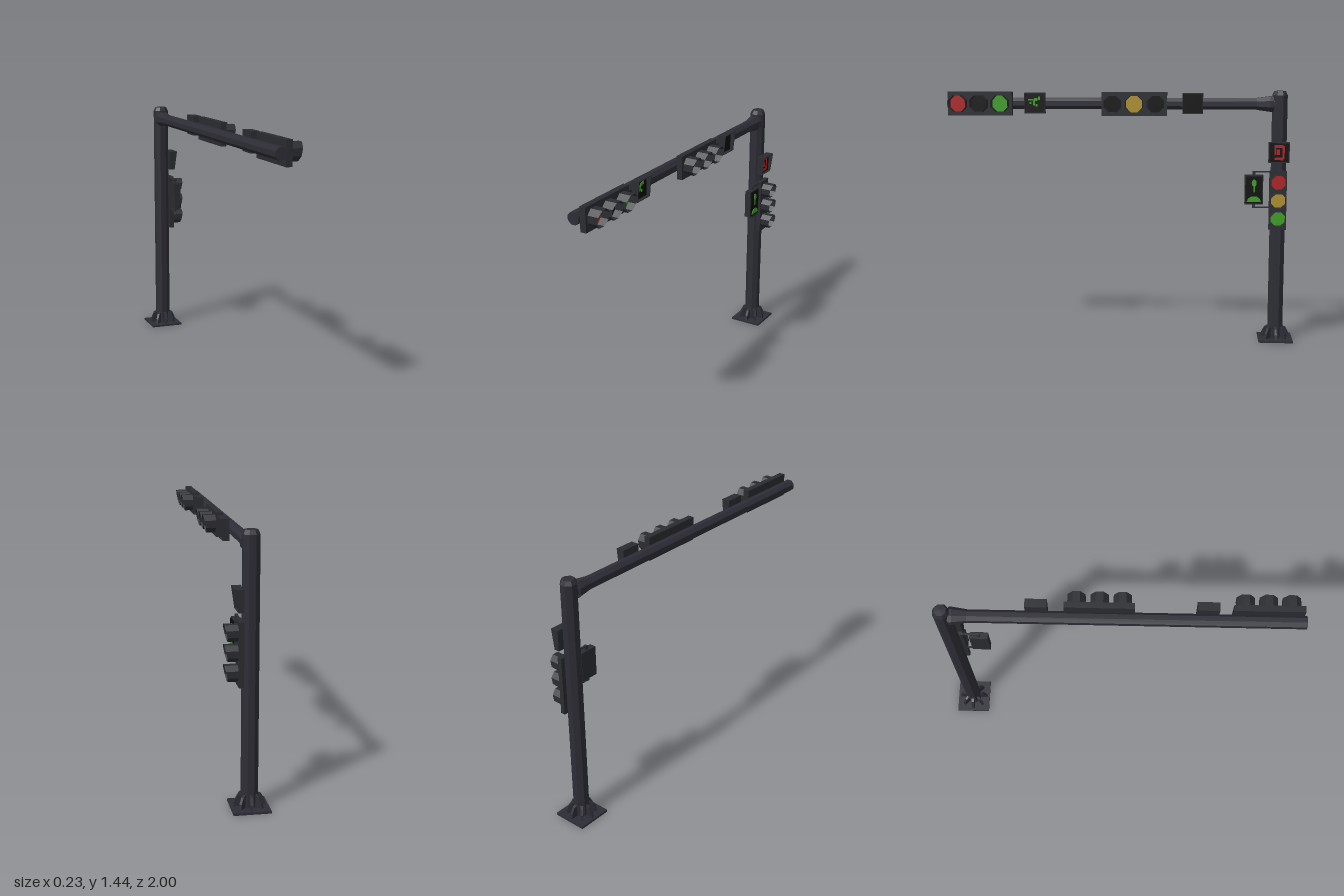
import * as THREE from 'three';

const mat = (name, color) => {
  const m = new THREE.MeshStandardMaterial({ color, flatShading: true, side: THREE.DoubleSide });
  m.name = name;
  return m;
};

export function createModel() {
  const root = new THREE.Group();
  root.name = 'trafficLight';
  const metal = mat('darkMetal', 0x2e2d36);
  const housing = mat('housingGrey', 0x2b2c31);
  const black = mat('black', 0x0c0c0d);
  const red = mat('red', 0xb02326);
  const yellow = mat('yellow', 0xb0922f);
  const green = mat('green', 0x41a026);

  const PX = -0.021, PZ = -0.9, ARM_Y = 1.365;

  const add = (name, geo, material, parent = root) => {
    const m = new THREE.Mesh(geo, material);
    m.name = name;
    parent.add(m);
    return m;
  };
  // Box given by its limits on each axis
  const box = (name, material, [x0, x1], [y0, y1], [z0, z1], parent = root) =>
    add(name, new THREE.BoxGeometry(x1 - x0, y1 - y0, z1 - z0)
      .translate((x0 + x1) / 2, (y0 + y1) / 2, (z0 + z1) / 2), material, parent);
  const group = (name) => {
    const g = new THREE.Group();
    g.name = name;
    root.add(g);
    return g;
  };

  // Octagonal post with bevelled cap
  const post = [[0, 0], [0.0455, 0], [0.0455, 1.415], [0.034, 1.438], [0, 1.44]].map(p => new THREE.Vector2(...p));
  add('post', new THREE.LatheGeometry(post, 8, Math.PI / 8), metal).position.set(PX, 0, PZ);

  // Base plate with radial stiffeners
  box('basePlate', metal, [PX - 0.098, PX + 0.098], [0, 0.012], [PZ - 0.098, PZ + 0.098]);
  const finShape = new THREE.Shape([[0.03, 0.01], [0.084, 0.01], [0.078, 0.04], [0.062, 0.072], [0.03, 0.085]]
    .map(p => new THREE.Vector2(...p)));
  const finGeo = new THREE.ExtrudeGeometry(finShape, { depth: 0.014, bevelEnabled: false }).translate(0, 0, -0.007);
  for (let i = 0; i < 8; i++) {
    const fin = add('baseFin', finGeo, metal);
    fin.position.set(PX, 0, PZ);
    fin.rotation.y = i * Math.PI / 4;
  }

  // Octagonal arm and its flared collar
  const alongZ = (name, rFront, rBack, z0, z1) =>
    add(name, new THREE.CylinderGeometry(rFront, rBack, z1 - z0, 8).rotateY(Math.PI / 8).rotateX(Math.PI / 2)
      .translate(PX, ARM_Y, (z0 + z1) / 2), metal);
  alongZ('arm', 0.035, 0.035, -0.88, 1);
  alongZ('armCollar', 0.036, 0.047, -0.845, -0.77);
  alongZ('armFlange', 0.048, 0.048, -0.865, -0.845);

  // Lamp disc with a slanted visor, facing +x
  const lamp = (parent, material, x, y, z, r) => {
    const visor = new THREE.CylinderGeometry(r, r, 0.07, 8, 1, true).rotateY(Math.PI / 8).rotateZ(-Math.PI / 2);
    const p = visor.attributes.position;
    for (let i = 0; i < p.count; i++) {
      if (p.getX(i) > 0) p.setX(i, 0.035 - 0.2 * (r - p.getY(i)));
    }
    visor.computeVertexNormals();
    add('visor', visor, housing, parent).position.set(x + 0.034, y, z);
    add('lens', new THREE.CylinderGeometry(r * 0.97, r * 0.97, 0.008, 8).rotateY(Math.PI / 8).rotateZ(-Math.PI / 2),
      material, parent).position.set(x + 0.005, y, z);
  };

  // Horizontal three-lamp heads on the arm
  const armHead = (zc, colours) => {
    const g = group('armSignalHead');
    box('headBack', housing, [0.01, 0.044], [1.297, 1.431], [zc - 0.185, zc + 0.185], g);
    colours.forEach((c, i) => lamp(g, c, 0.044, ARM_Y, zc + (1 - i) * 0.121, 0.0515));
  };
  armHead(0.803, [red, black, green]);
  armHead(-0.08, [black, yellow, black]);

  // Vertical three-lamp head on the post
  const postHead = group('postSignalHead');
  box('headBack', housing, [0.018, 0.044], [0.655, 0.99], [-0.945, -0.847], postHead);
  [red, yellow, green].forEach((c, i) => lamp(postHead, c, 0.044, 0.928 - i * 0.103, -0.896, 0.0455));

  // Hooded square sign; marks are [z centre, y centre, width, height]
  const sign = (name, x, yc, zc, depth, slant, colour, marks) => {
    const g = group(name), h = 0.058, t = 0.004;
    const Y = [yc - h, yc + h], Z = [zc - h, zc + h];
    box('signBack', housing, [x, x + 0.012], Y, Z, g);
    box('signFace', black, [x + 0.012, x + 0.017], [Y[0] + t, Y[1] - t], [Z[0] + t, Z[1] - t], g);
    box('hoodTop', housing, [x, x + depth], [Y[1] - t, Y[1]], Z, g);
    box('hoodBottom', housing, [x, x + depth - slant], [Y[0], Y[0] + t], Z, g);
    const side = new THREE.Shape([[x, Y[0]], [x + depth - slant, Y[0]], [x + depth, Y[1]], [x, Y[1]]]
      .map(p => new THREE.Vector2(...p)));
    const sideGeo = new THREE.ExtrudeGeometry(side, { depth: t, bevelEnabled: false });
    add('hoodSide', sideGeo, housing, g).position.z = Z[0];
    add('hoodSide', sideGeo, housing, g).position.z = Z[1] - t;
    for (const [mz, my, w, hh] of marks) {
      box('symbol', colour, [x + 0.016, x + 0.02], [yc + my - hh / 2, yc + my + hh / 2],
        [zc + mz - w / 2, zc + mz + w / 2], g);
    }
  };
  sign('armSignLit', 0.01, ARM_Y + 0.003, 0.487, 0.048, 0.012, green,
    [[0.025, 0.018, 0.03, 0.008], [-0.005, 0.02, 0.02, 0.018], [-0.022, 0.026, 0.012, 0.02],
      [0.006, 0, 0.012, 0.026], [0.026, 0, 0.012, 0.01], [-0.008, -0.014, 0.01, 0.014]]);
  sign('armSignDark', 0.01, ARM_Y + 0.003, -0.41, 0.048, 0.012, black, []);
  sign('postSign', 0.02, 1.096, -0.897, 0.047, 0.017, red,
    [[0, 0.034, 0.05, 0.016], [-0.026, 0, 0.012, 0.075], [0, -0.036, 0.05, 0.016],
      [0.004, 0, 0.018, 0.03], [0.022, 0.008, 0.008, 0.05]]);

  // Side sign for walkers, on a thin bracket
  const walk = group('walkerSign');
  box('signBox', housing, [0.006, 0.044], [0.799, 0.966], [-0.812, -0.709], walk);
  box('signFace', black, [0.043, 0.048], [0.805, 0.96], [-0.807, -0.714], walk);
  for (const y of [0.781, 0.984]) {
    box('bracketArm', metal, [0.02, 0.03], [y - 0.004, y + 0.004], [-0.87, -0.755], walk);
  }
  box('bracketRod', metal, [0.017, 0.033], [0.777, 0.988], [-0.769, -0.753], walk);
  const plate = (shape) => add('walkerSymbol',
    new THREE.ExtrudeGeometry(shape, { depth: 0.004, bevelEnabled: false, curveSegments: 8 })
      .rotateY(Math.PI / 2), green, walk).position.set(0.047, 0, -0.761);
  const head = new THREE.Shape();
  head.absellipse(0, 0.922, 0.014, 0.02, 0, Math.PI * 2);
  plate(head);
  plate(new THREE.Shape([[-0.004, 0.87], [0.004, 0.87], [0.004, 0.91], [-0.004, 0.91]].map(p => new THREE.Vector2(...p))));
  plate(new THREE.Shape([[-0.04, 0.815], [0.04, 0.815], [0.034, 0.832], [0.016, 0.845], [-0.016, 0.845], [-0.034, 0.832]]
    .map(p => new THREE.Vector2(...p))));

  return root;
}
